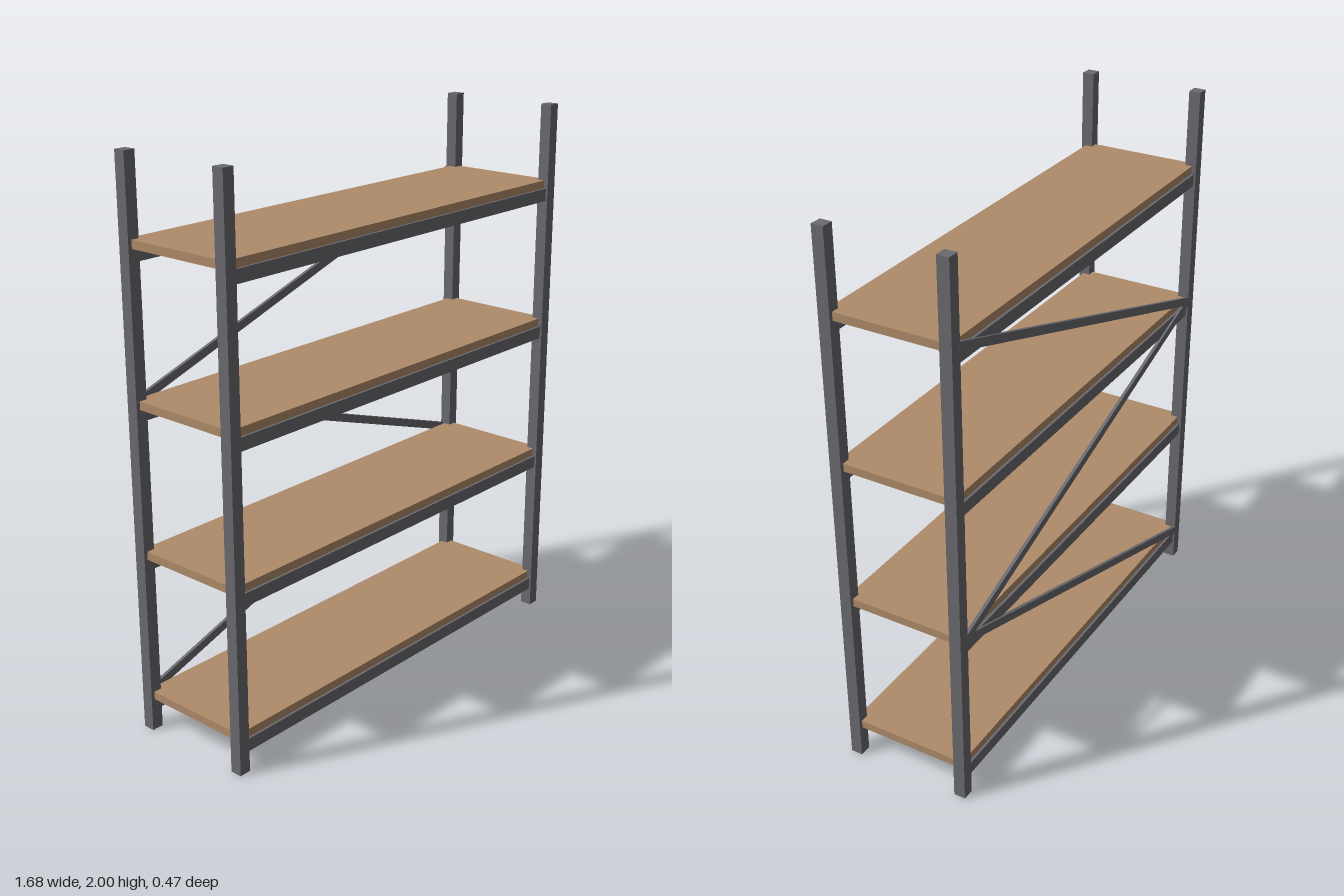
import * as THREE from 'three';

const steel = new THREE.MeshStandardMaterial({ color: 0x6a6a70 });
const wood = new THREE.MeshStandardMaterial({ color: 0xb08c6a });

const POST_X = 0.818, POST_Z = 0.214, POST_W = 0.043;
const FIRST_BEAM = 0.069, SPACING = 0.5265, LEVELS = 4;
const BEAM_H = 0.046, BEAM_D = 0.028, BOARD_H = 0.029;

export function createModel() {
  const model = new THREE.Group();
  model.name = 'shelvingUnit';

  const box = (name, material, size, position) => {
    const mesh = new THREE.Mesh(new THREE.BoxGeometry(...size), material);
    mesh.name = name;
    mesh.position.set(...position);
    model.add(mesh);
    return mesh;
  };

  // Four square uprights
  for (const [side, sx] of [['left', 1], ['right', -1]]) {
    for (const [end, sz] of [['Front', 1], ['Back', -1]]) {
      box(`${side}${end}Post`, steel, [POST_W, 2, POST_W], [sx * POST_X, 1, sz * POST_Z]);
    }
  }

  // Each level: a front and a back beam carrying a wooden board
  const boardY = (i) => FIRST_BEAM + i * SPACING + BEAM_H + BOARD_H / 2;
  for (let i = 0; i < LEVELS; i++) {
    const beamY = FIRST_BEAM + i * SPACING + BEAM_H / 2;
    for (const [end, sz] of [['front', 1], ['back', -1]]) {
      box(`${end}Beam${i + 1}`, steel, [2 * POST_X - POST_W, BEAM_H, BEAM_D], [0, beamY, sz * POST_Z]);
    }
    box(`shelfBoard${i + 1}`, wood, [1.652, BOARD_H, 0.438], [0, boardY(i), 0]);
  }

  // Zigzag braces across the back, one per bay
  const run = 1.6;
  for (let i = 0; i < LEVELS - 1; i++) {
    const brace = box(`backBrace${i + 1}`, steel, [Math.hypot(run, SPACING), 0.03, 0.012],
      [0, (boardY(i) + boardY(i + 1)) / 2, -0.23]);
    brace.rotation.z = (i % 2 ? -1 : 1) * Math.atan2(SPACING, run);
  }

  return model;
}
